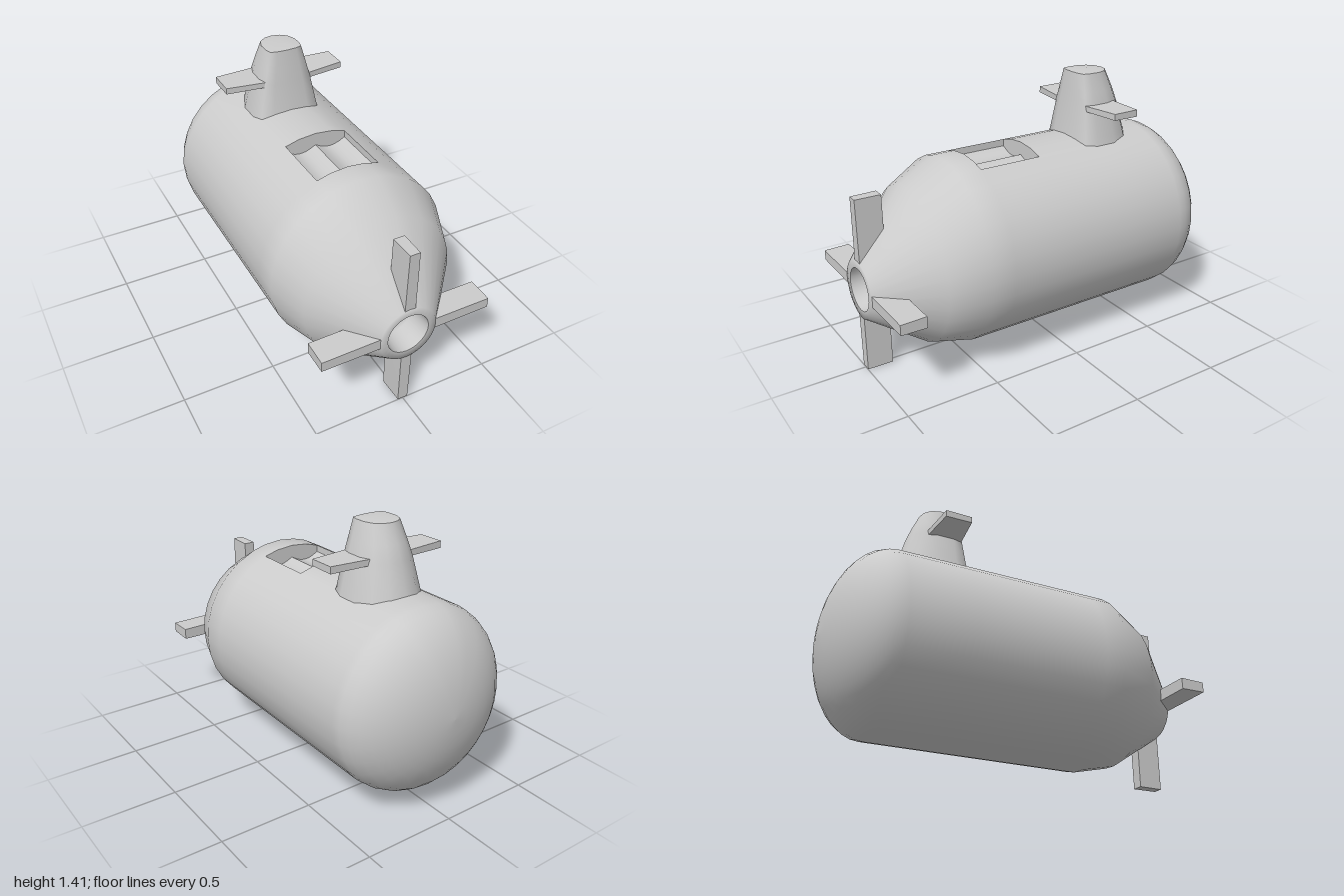
import * as THREE from 'three';

const V = (x, y, z) => new THREE.Vector3(x, y, z);
const smooth = new THREE.MeshStandardMaterial({ color: 0xcccccc });
const flat = new THREE.MeshStandardMaterial({ color: 0xcccccc, flatShading: true });
const twoSided = new THREE.MeshStandardMaterial({ color: 0xcccccc, side: THREE.DoubleSide });

// Skin a surface over rings of points (clockwise looking along the sweep).
function loft(rings, { closed = true, cap = null, skip = () => false } = {}) {
  const n = rings[0].length, pos = [], idx = [];
  rings.flat().forEach(p => pos.push(p.x, p.y, p.z));
  for (let i = 0; i < rings.length - 1; i++) {
    for (let j = 0; j < (closed ? n : n - 1); j++) {
      if (skip(i, j)) continue;
      const k = (j + 1) % n, a = i * n + j, b = i * n + k, c = a + n, d = b + n;
      idx.push(a, b, c, b, d, c);
    }
  }
  if (cap) { // separate vertices keep the rim sharp
    const base = pos.length / 3;
    rings[rings.length - 1].forEach(p => pos.push(p.x, p.y, p.z));
    pos.push(cap.x, cap.y, cap.z);
    for (let j = 0; j < n; j++) idx.push(base + j, base + (j + 1) % n, base + n);
  }
  const g = new THREE.BufferGeometry();
  g.setAttribute('position', new THREE.Float32BufferAttribute(pos, 3));
  g.setIndex(idx);
  g.computeVertexNormals();
  return g;
}

// Fin growing along +y; each section is [height, half thickness, zFront, zBack].
function finGeometry(sections) {
  const rings = sections.map(([y, w, f, b]) => [V(-w, y, f), V(w, y, f), V(w * 1.1, y, b), V(-w * 1.1, y, b)]);
  const [y, , f, b] = sections[sections.length - 1];
  return loft(rings, { cap: V(0, y, (f + b) / 2) });
}

export function createModel() {
  const model = new THREE.Group();
  const add = (name, geometry, material = smooth) => {
    const mesh = new THREE.Mesh(geometry, material);
    mesh.name = name;
    model.add(mesh);
    return mesh;
  };

  // Hull: 32 sides, two of them nudged to meet the edge of the bay
  const N = 32, R = 0.5, CY = 0.56, bayHalf = 0.175, bayFront = 0.38, bayBack = 0.03;
  const angles = Array.from({ length: N }, (_, j) => (j / N) * Math.PI * 2);
  angles[2] = Math.asin(bayHalf / R);
  angles[N - 2] = Math.PI * 2 - angles[2];
  const stations = [ // z, centre height, radius
    [1, 0.457, 0.115], [1, 0.457, 0.157], [0.71, 0.525, 0.42], [0.51, CY, R],
    [bayFront, CY, R], [bayBack, CY, R], [-0.35, CY, R], [-0.7, CY, R],
  ];
  for (let i = 1; i <= 10; i++) {
    const t = (i / 10) * Math.PI / 2;
    stations.push([-0.7 - 0.3 * Math.sin(t), CY, R * Math.cos(t)]);
  }
  const hullRings = stations.map(([z, cy, r]) => angles.map(a => V(r * Math.sin(a), cy + r * Math.cos(a), z)));
  add('hull', loft(hullRings, { skip: (i, j) => i === 4 && (j < 2 || j >= N - 2) }));

  // Tail nozzle recess
  const nozzle = add('nozzle', new THREE.LatheGeometry(
    [new THREE.Vector2(0, -0.13), new THREE.Vector2(0.1, -0.13), new THREE.Vector2(0.115, 0)], N), twoSided);
  nozzle.rotation.x = Math.PI / 2;
  nozzle.position.set(0, 0.457, 1);

  // Open bay: two troughs side by side
  const rimY = CY + R * Math.cos(angles[2]);
  const half = [[0, 0.99]];
  for (let i = 1; i <= 6; i++) half.push([bayHalf * i / 6, 0.99 - 0.03 * Math.sin(Math.PI * i / 6)]);
  const floor = [...half.slice(1).reverse().map(([x, y]) => [-x, y]), ...half];
  const trough = s => loft([bayFront, bayBack].map(z => half.map(([x, y]) => V(s * x, y, z))), { closed: false });
  for (const s of [-1, 1]) {
    add('bayFloor', trough(s), twoSided);
    add('bayWall', loft([bayFront, bayBack].map(z => [V(s * bayHalf, 0.99, z), V(s * bayHalf, rimY, z)]),
      { closed: false }), twoSided);
  }
  const arc = [2, 1, 0, N - 1, N - 2].map(j => [R * Math.sin(angles[j]), CY + R * Math.cos(angles[j])]);
  const endShape = new THREE.Shape([...floor, ...arc].map(p => new THREE.Vector2(...p)));
  for (const z of [bayFront, bayBack]) {
    add('bayEnd', new THREE.ShapeGeometry(endShape), twoSided).position.z = z;
  }

  // Sail: blunt at the front, rounded at the back, tapering upwards
  const sailSections = [ // y, half width, zFront, zBack
    [0.96, 0.205, -0.235, -0.65], [1.06, 0.183, -0.255, -0.62],
    [1.22, 0.15, -0.275, -0.575], [1.30, 0.128, -0.285, -0.545], [1.4, 0.1, -0.297, -0.5],
  ];
  const outline = [[0.55, 0.02], [0.9, 0.07], [1, 0.25], [1, 0.55], [0.82, 0.8], [0.45, 0.95]];
  const sailRings = sailSections.map(([y, w, f, b]) => {
    const at = ([u, t], s) => V(s * u * w, y, f + (b - f) * t);
    return [at([0, 0], 1), ...outline.map(p => at(p, 1)), at([0, 1], 1),
      ...outline.slice().reverse().map(p => at(p, -1))];
  });
  add('sail', loft(sailRings, { cap: V(0, 1.41, -0.4) }));

  // Sail planes
  for (const s of [-1, 1]) {
    const plane = add(s > 0 ? 'leftSailPlane' : 'rightSailPlane',
      finGeometry([[0.08, 0.015, -0.29, -0.5], [0.14, 0.015, -0.3, -0.49], [0.345, 0.017, -0.328, -0.475]]), flat);
    plane.rotation.z = -s * Math.PI / 2;
    plane.position.y = 1.222;
  }

  // Four tail fins around the nozzle
  const fins = [['upperFin', 0, 0.495], ['leftFin', -1, 0.473], ['lowerFin', 2, 0.457], ['rightFin', 1, 0.473]];
  for (const [name, turn, length] of fins) {
    const fin = add(name, finGeometry([
      [0.135, 0.03, 0.999, 0.86], [0.33, 0.029, 0.999, 0.86], [length, 0.028, 0.999, 0.86]]), flat);
    fin.rotation.z = turn * Math.PI / 2;
    fin.position.y = 0.457;
  }
  return model;
}
